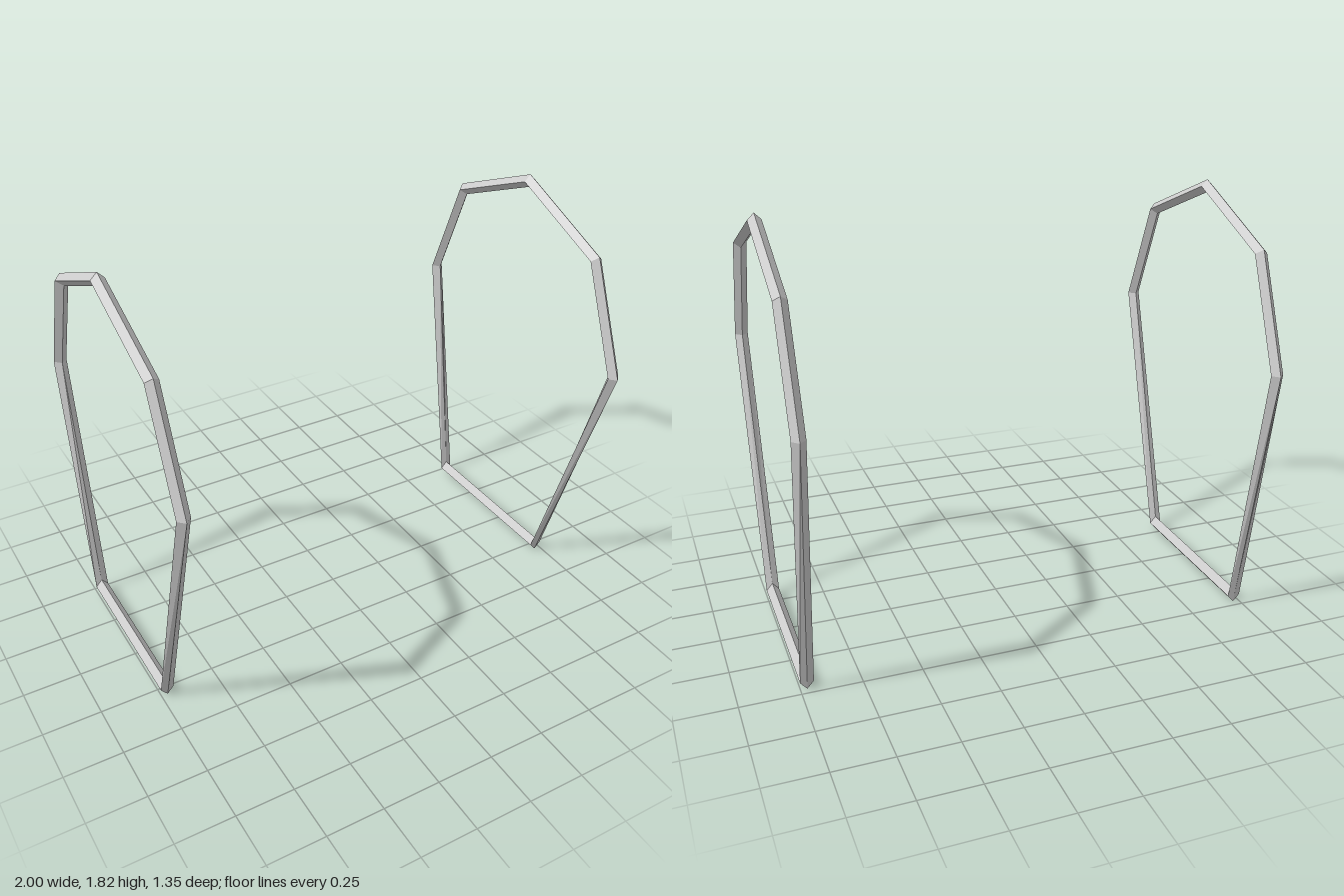
import * as THREE from 'three';

const TUBE = 0.028;      // half diagonal of the diamond bar section
const RADIUS = 0.648;    // radius of the upper arch
const CENTRE_Y = 1.148;  // height of the arch centre

// Each section is a centre (z, y) and the outward direction of its outer ridge
function sections() {
  const list = [];
  for (let i = 0; i <= 4; i++) {
    const a = (i * Math.PI) / 4;
    const dz = Math.cos(a), dy = Math.sin(a);
    list.push({ z: RADIUS * dz, y: CENTRE_Y + RADIUS * dy, dz, dy, r: TUBE });
  }
  // Flat foot bar, ended by upright sections
  list.push({ z: -0.47, y: 0.032, dz: 0, dy: -1, r: 0.032 });
  list.push({ z: 0.293, y: 0.032, dz: 0, dy: -1, r: 0.032 });
  return list;
}

// Closed loop of diamond-section bars, faceted
function frameGeometry() {
  const pos = [], index = [];
  const list = sections();
  for (const { z, y, dz, dy, r } of list) {
    pos.push(0, y + dy * r, z + dz * r); // outer ridge
    pos.push(TUBE, y, z);                // left ridge
    pos.push(0, y - dy * r, z - dz * r); // inner ridge
    pos.push(-TUBE, y, z);               // right ridge
  }
  for (let s = 0; s < list.length; s++) {
    const t = (s + 1) % list.length;
    for (let k = 0; k < 4; k++) {
      const n = (k + 1) % 4;
      const a = s * 4 + k, b = t * 4 + k, c = t * 4 + n, d = s * 4 + n;
      index.push(a, d, c, a, c, b);
    }
  }
  const geo = new THREE.BufferGeometry();
  geo.setAttribute('position', new THREE.Float32BufferAttribute(pos, 3));
  geo.setIndex(index);
  const flat = geo.toNonIndexed();
  flat.computeVertexNormals();
  return flat;
}

export function createModel() {
  const model = new THREE.Group();
  model.name = 'sideFrames';
  const material = new THREE.MeshStandardMaterial({ color: 0xcccccc, flatShading: true });
  const geometry = frameGeometry();
  // Matching frames on both sides
  for (const side of [1, -1]) {
    const frame = new THREE.Mesh(geometry, material);
    frame.name = side > 0 ? 'leftFrame' : 'rightFrame';
    frame.position.x = side * (1 - TUBE);
    model.add(frame);
  }
  return model;
}
